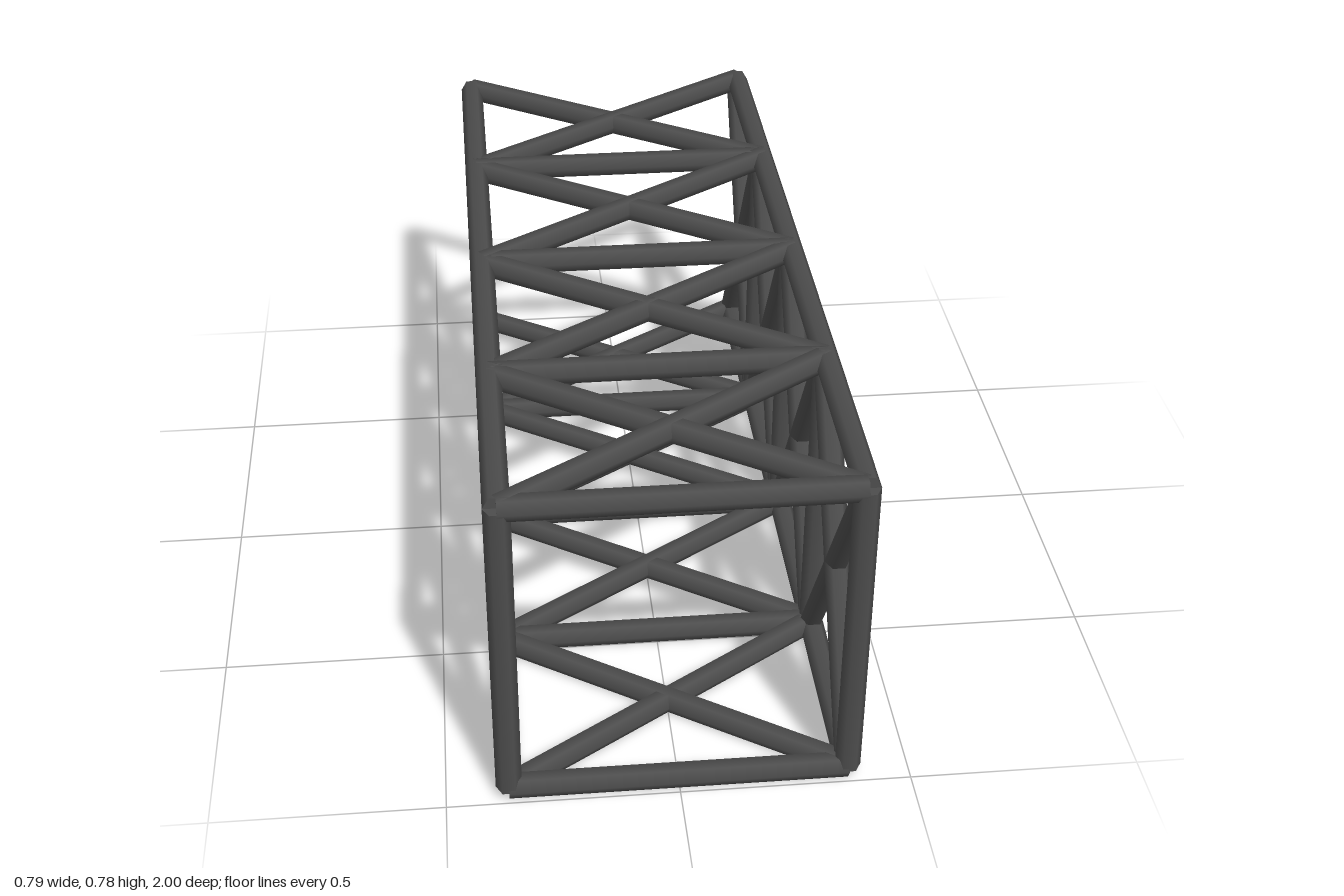
import * as THREE from 'three';

export function createModel() {
  const model = new THREE.Group();
  const material = new THREE.MeshStandardMaterial({ color: 0x4d4d4d });

  const R = 0.028;                      // corner radius of the six-sided bars
  const flat = R * Math.cos(Math.PI / 6);
  const bays = 4, step = 0.487, half = 0.3655;
  const bottom = flat, top = flat + 2 * half;
  const frontZ = 1 - R;
  const up = new THREE.Vector3(0, 1, 0);
  const side = new THREE.Vector3(1, 0, 0);

  // Six-sided bar from a to b; upright bars point an edge along x, flat ones sideways
  function bar(name, a, b) {
    const start = new THREE.Vector3(...a), end = new THREE.Vector3(...b);
    const dir = end.clone().sub(start);
    const length = dir.length();
    dir.normalize();
    const edge = Math.abs(dir.y) > 0.01 ? side.clone() : dir.clone().cross(up).normalize();
    const mesh = new THREE.Mesh(new THREE.CylinderGeometry(R, R, length, 6), material);
    mesh.name = name;
    mesh.quaternion.setFromRotationMatrix(
      new THREE.Matrix4().makeBasis(dir.clone().cross(edge), dir, edge));
    mesh.position.copy(start).add(end).multiplyScalar(0.5);
    model.add(mesh);
  }

  // Four long chords
  for (const x of [-half, half])
    for (const y of [bottom, top])
      bar('chord', [x, y, frontZ], [x, y, frontZ - bays * step]);

  for (let i = 0; i < bays; i++) {
    const z0 = frontZ - i * step, z1 = z0 - step;

    // Square frame at the front of each bay; the back end stays open
    for (const x of [-half, half]) bar('post', [x, bottom, z0], [x, top, z0]);
    for (const y of [bottom, top]) bar('crossbar', [-half, y, z0], [half, y, z0]);

    // Crossed braces on all four faces
    for (const x of [-half, half]) {
      bar('sideBrace', [x, bottom, z0], [x, top, z1]);
      bar('sideBrace', [x, top, z0], [x, bottom, z1]);
    }
    for (const y of [bottom, top]) {
      bar('flatBrace', [-half, y, z0], [half, y, z1]);
      bar('flatBrace', [half, y, z0], [-half, y, z1]);
    }
  }
  return model;
}
